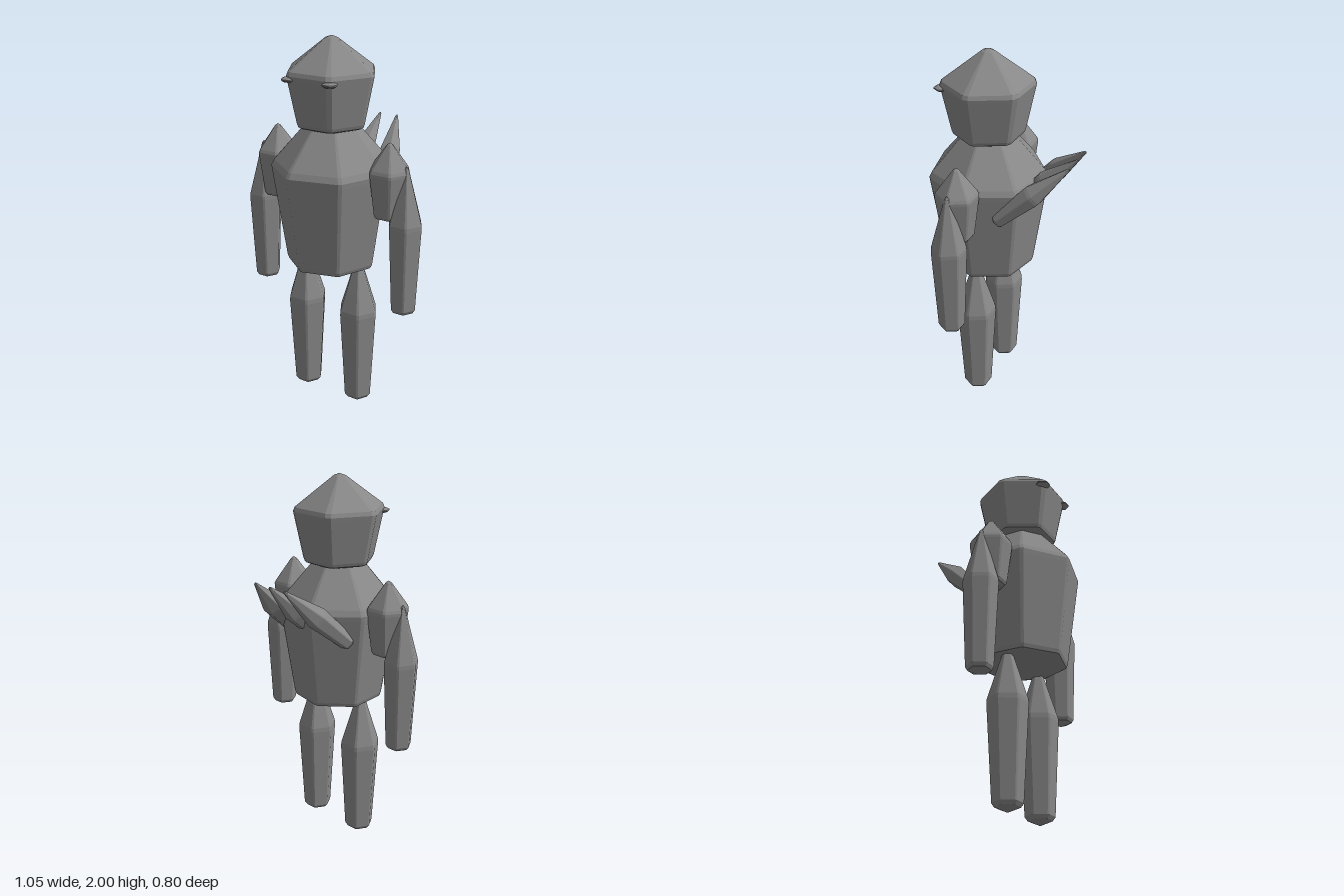
import * as THREE from 'three';

const stone = new THREE.MeshStandardMaterial({ color: 0x888888 });
stone.name = 'grey stone';

// Faceted crystal: profile is [radius, y] from bottom to top, corners are slightly chamfered
function crystalGeometry(profile, sides = 6, startDeg = 30, chamfer = 0.07) {
  const positions = [];
  const start = THREE.MathUtils.degToRad(startDeg);
  const corner = (k, r, y) => {
    const a = start + (k / sides) * Math.PI * 2;
    return new THREE.Vector3(Math.sin(a) * r, y, Math.cos(a) * r);
  };
  const rings = profile.map(([r, y]) => {
    const ring = [];
    for (let k = 0; k < sides; k++) {
      const c = corner(k, r, y);
      ring.push(c.clone().lerp(corner(k - 1, r, y), chamfer));
      ring.push(c.clone().lerp(corner(k + 1, r, y), chamfer));
    }
    return ring;
  });
  const triangle = (...points) => points.forEach((p) => positions.push(p.x, p.y, p.z));
  for (let i = 0; i < rings.length - 1; i++) {
    const low = rings[i], high = rings[i + 1];
    for (let j = 0; j < low.length; j++) {
      const n = (j + 1) % low.length;
      if (profile[i][0] > 0) triangle(low[j], low[n], high[n]);
      if (profile[i + 1][0] > 0) triangle(low[j], high[n], high[j]);
    }
  }
  const geometry = new THREE.BufferGeometry();
  geometry.setAttribute('position', new THREE.Float32BufferAttribute(positions, 3));
  geometry.computeVertexNormals();
  return geometry;
}

export function createModel() {
  const model = new THREE.Group();
  model.name = 'crystalGolem';
  const axisZ = 0.09;

  function add(name, geometry, x = 0, y = 0, z = axisZ) {
    const mesh = new THREE.Mesh(geometry, stone);
    mesh.name = name;
    mesh.position.set(x, y, z);
    model.add(mesh);
    return mesh;
  }

  // Seven-sided torso tapering to the hips
  add('torso', crystalGeometry([
    [0, 0.77], [0.215, 0.803], [0.235, 0.81], [0.243, 0.83],
    [0.315, 1.31], [0.318, 1.335], [0.302, 1.365], [0.14, 1.55], [0, 1.68],
  ], 7, -11, 0.04));

  // Hexagonal head with a pointed crown
  add('head', crystalGeometry([
    [0, 1.54], [0.172, 1.55], [0.186, 1.557], [0.194, 1.575],
    [0.243, 1.80], [0.247, 1.82], [0.238, 1.84], [0.035, 1.987], [0, 2.0],
  ]));

  const shoulder = crystalGeometry([
    [0, 1.115], [0.075, 1.125], [0.085, 1.14], [0.113, 1.35],
    [0.113, 1.365], [0.106, 1.38], [0.016, 1.5], [0, 1.51],
  ]);
  const forearm = crystalGeometry([
    [0, 0.6], [0.06, 0.622], [0.071, 0.64], [0.093, 1.09],
    [0.092, 1.11], [0.012, 1.39], [0, 1.405],
  ]);
  const leg = crystalGeometry([
    [0, 0], [0.065, 0.025], [0.08, 0.045], [0.109, 0.54],
    [0.107, 0.565], [0.012, 0.86], [0, 0.875],
  ]);
  const eye = crystalGeometry([
    [0, -0.014], [0.027, -0.011], [0.042, -0.002], [0.042, 0.004], [0.025, 0.012], [0, 0.014],
  ]);
  for (const [side, s] of [['left', 1], ['right', -1]]) {
    add(side + 'Shoulder', shoulder, s * 0.34);
    add(side + 'Forearm', forearm, s * 0.436);
    add(side + 'Leg', leg, s * 0.165);
    add(side + 'Eye', eye, s * 0.118, 1.802, 0.285);
  }

  // Slanted spikes on the back, each built upright then turned to its tip
  const spikeLength = 0.495;
  const spike = crystalGeometry([
    [0, 0], [0.035, 0.008], [0.042, 0.02], [0.06, 0.245],
    [0.059, 0.262], [0.008, spikeLength - 0.01], [0, spikeLength],
  ]);
  const up = new THREE.Vector3(0, 1, 0);
  for (const [name, s] of [['leftBackSpike', 1], ['middleBackSpike', 0], ['rightBackSpike', -1]]) {
    const base = new THREE.Vector3(s * 0.215, 1.18, -0.055);
    const tip = new THREE.Vector3(s * 0.103, 1.512, -0.403);
    const direction = tip.clone().sub(base);
    const mesh = add(name, spike, base.x, base.y, base.z);
    mesh.scale.y = direction.length() / spikeLength;
    mesh.quaternion.setFromUnitVectors(up, direction.normalize());
  }
  return model;
}
